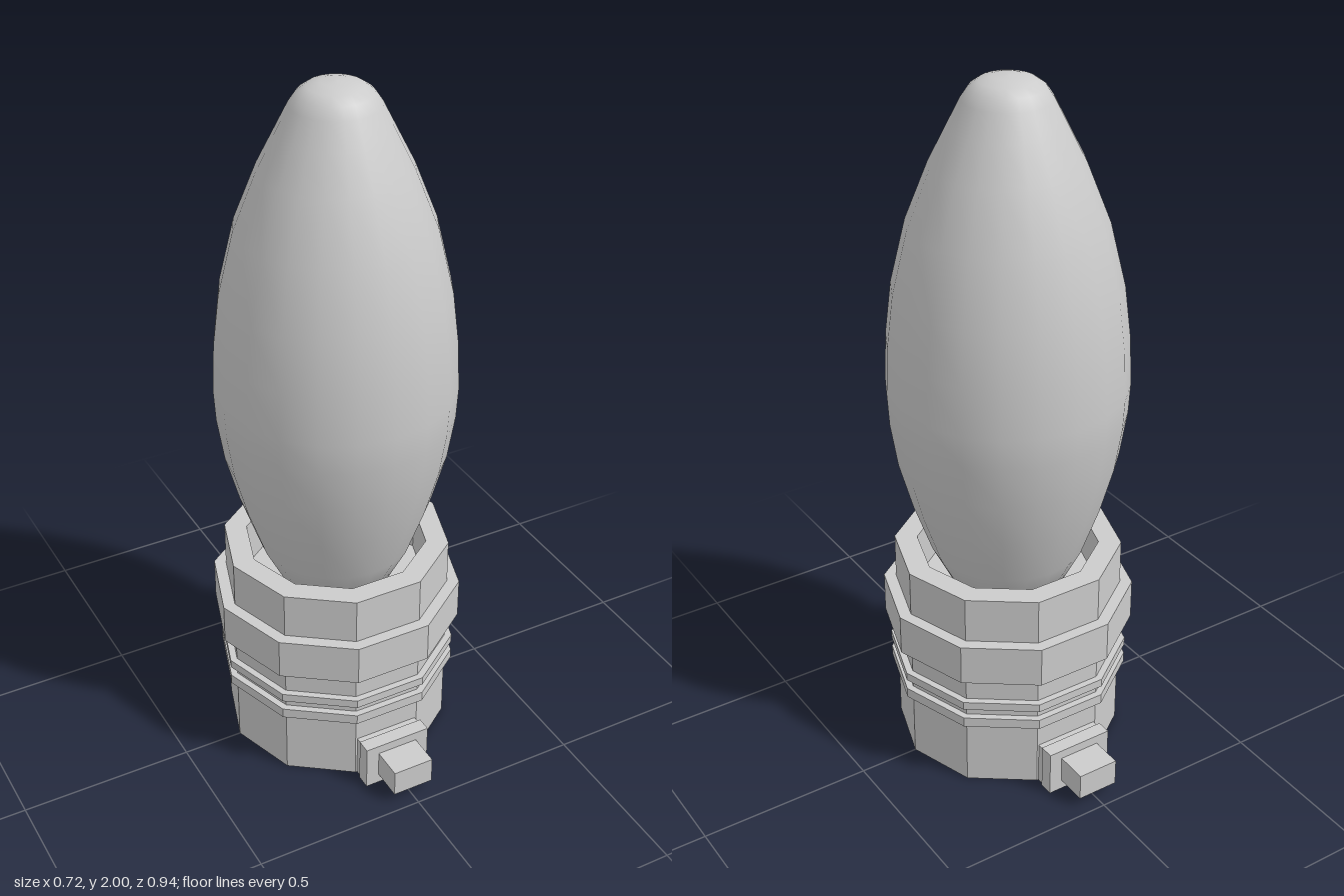
import * as THREE from 'three';

const smooth = new THREE.MeshStandardMaterial({ color: 0xcccccc });
const flat = new THREE.MeshStandardMaterial({ color: 0xcccccc, flatShading: true });

function lathe(name, profile, sides, material) {
  const points = profile.map(([r, y]) => new THREE.Vector2(r, y));
  const mesh = new THREE.Mesh(new THREE.LatheGeometry(points, sides, Math.PI / 2), material);
  mesh.name = name;
  return mesh;
}

function box(name, width, y0, y1, z0, z1) {
  const mesh = new THREE.Mesh(new THREE.BoxGeometry(width, y1 - y0, z1 - z0), flat);
  mesh.position.set(0, (y0 + y1) / 2, (z0 + z1) / 2);
  mesh.name = name;
  return mesh;
}

export function createModel() {
  const model = new THREE.Group();
  model.name = 'lightBulb';

  // Glass: candle-shaped bulb reaching down into the socket
  model.add(lathe('glassBulb', [
    [0, 0.5], [0.1, 0.5], [0.165, 0.52], [0.22, 0.63], [0.272, 0.78], [0.31, 0.92],
    [0.33, 1.05], [0.335, 1.14], [0.329, 1.28], [0.311, 1.43], [0.268, 1.61],
    [0.205, 1.77], [0.155, 1.87], [0.12, 1.94], [0.1, 1.97], [0.075, 1.988],
    [0.04, 1.998], [0, 2],
  ], 20, smooth));

  // Ten-sided socket: wide collar, two thin ribs, hollow top
  const R = 0.325, rib = 0.345, collar = 0.36, inner = 0.26;
  model.add(lathe('socket', [
    [0, 0], [R, 0],
    [R, 0.205], [rib, 0.205], [rib, 0.235], [R, 0.235],
    [R, 0.265], [rib, 0.265], [rib, 0.29], [R, 0.29],
    [R, 0.37], [collar, 0.37], [collar, 0.49], [R, 0.49],
    [R, 0.625], [inner, 0.625], [inner, 0.49], [0, 0.49],
  ], 10, flat));

  // Stepped bayonet pins, front and back
  for (const [name, turn] of [['frontPin', 0], ['backPin', Math.PI]]) {
    const pin = new THREE.Group();
    pin.name = name;
    pin.rotation.y = turn;
    pin.add(
      box('pinBase', 0.19, 0, 0.128, 0.29, 0.345),
      box('pinPlate', 0.2, 0, 0.137, 0.333, 0.375),
      box('pinPeg', 0.122, 0.03, 0.11, 0.36, 0.468),
    );
    model.add(pin);
  }
  return model;
}
